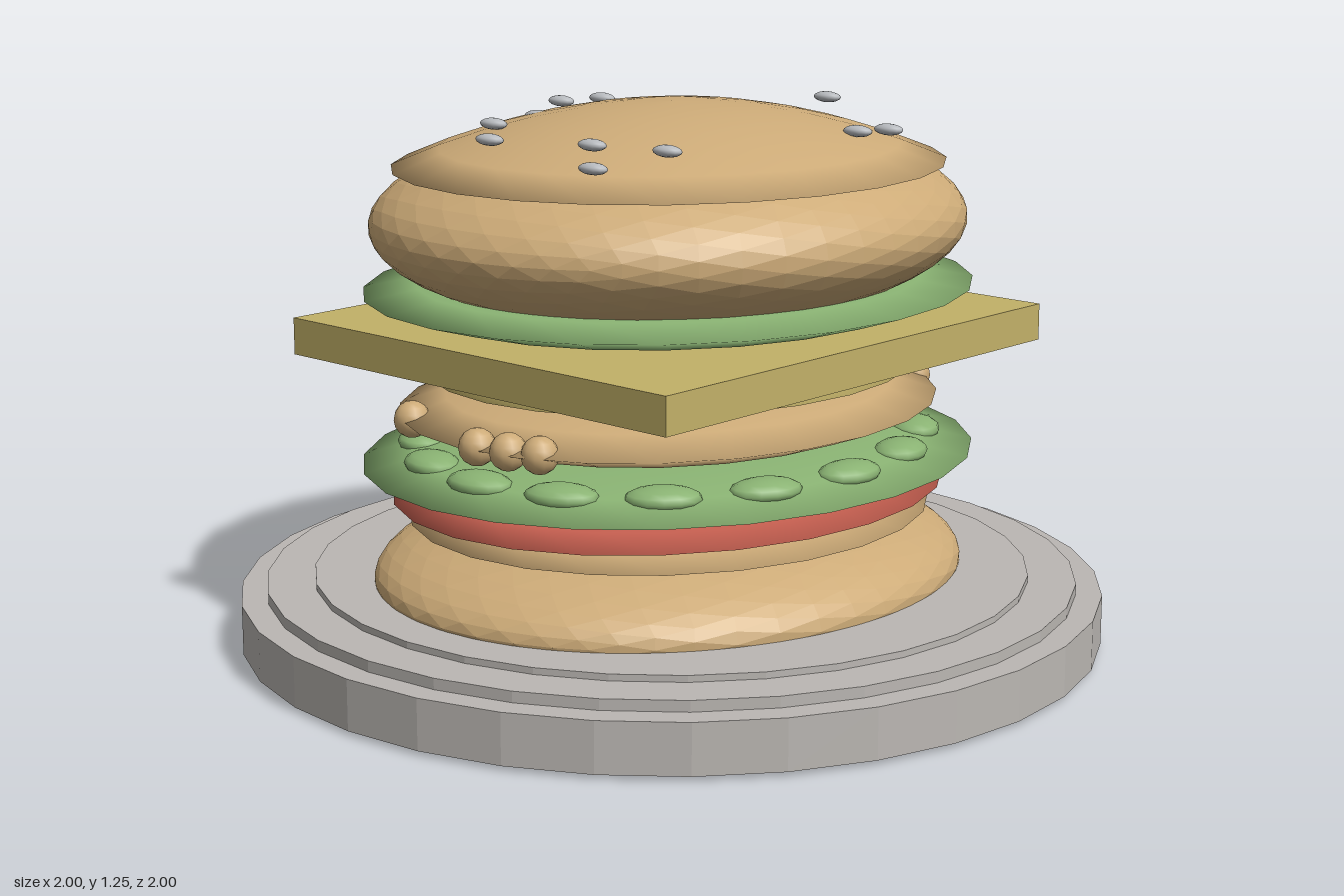
import * as THREE from 'three';

const mat = (name, color) => {
  const m = new THREE.MeshStandardMaterial({ color });
  m.name = name;
  return m;
};

export function createModel() {
  const bun = mat('toasted tan', 0xcdab78);
  const green = mat('lettuce green', 0x8ab373);
  const red = mat('tomato red', 0xc65f50);
  const yellow = mat('cheese yellow', 0xc2b168);
  const grey = mat('plate grey', 0xbbb7b3);
  const seedGrey = mat('seed grey', 0xb9bcc0);

  const model = new THREE.Group();
  model.name = 'burgerOnPlate';

  const add = (name, geometry, material, x, y, z, parent = model) => {
    const mesh = new THREE.Mesh(geometry, material);
    mesh.name = name;
    mesh.position.set(x, y, z);
    parent.add(mesh);
    return mesh;
  };

  // Lens-shaped layer with a sharp rim; a higher power gives a flatter face
  const lens = (name, material, y, rx, rz, half, power, below = half) => {
    const pts = [];
    const n = 6;
    for (let i = 0; i <= n; i++) {
      const r = i / n;
      pts.push(new THREE.Vector2(r, -below * (1 - r ** power)));
    }
    for (let i = n; i >= 0; i--) {
      const r = i / n;
      if (i < n) pts.push(new THREE.Vector2(r, half * (1 - r ** power)));
    }
    const geo = new THREE.LatheGeometry(pts, 24);
    geo.scale(rx, 1, rz);
    return add(name, geo, material, 0, y, 0);
  };

  // Faceted ellipsoid for the bread
  const bread = (name, y, rx, ry, rz) => {
    const geo = new THREE.IcosahedronGeometry(1, 7);
    geo.scale(rx, ry, rz);
    geo.computeVertexNormals();
    return add(name, geo, bun, 0, y, 0);
  };

  // Stepped plate
  [['plateBase', 1, 0.01, 0.125], ['plateStep', 0.94, 0.12, 0.15], ['plateCentre', 0.83, 0.145, 0.165]]
    .forEach(([name, r, y0, y1]) => {
      const flat = new THREE.CylinderGeometry(r, r, y1 - y0, 32).toNonIndexed();
      flat.computeVertexNormals();
      add(name, flat, grey, 0, (y0 + y1) / 2, 0);
    });

  // Layers from the bottom up
  bread('bottomBun', 0.171, 0.73, 0.171, 0.64);
  lens('bottomBunTop', bun, 0.31, 0.64, 0.57, 0.04, 4);
  lens('tomato', red, 0.365, 0.69, 0.59, 0.035, 4);
  lens('lowerLettuce', green, 0.44, 0.755, 0.66, 0.06, 4);
  lens('patty', bun, 0.56, 0.67, 0.575, 0.07, 4);
  lens('sauce', yellow, 0.645, 0.59, 0.53, 0.03, 4);
  add('cheese', new THREE.BoxGeometry(1.28, 0.085, 1.15), yellow, 0, 0.718, 0);
  lens('upperLettuce', green, 0.83, 0.74, 0.66, 0.04, 4, 0.07);
  bread('topBun', 0.98, 0.72, 0.22, 0.645);
  lens('topBunCrown', bun, 1.108, 0.665, 0.6, 0.137, 2, 0.03);

  // Ruffles around the lower lettuce
  const ruffles = new THREE.Group();
  ruffles.name = 'lettuceRuffles';
  model.add(ruffles);
  const ruffleGeo = new THREE.SphereGeometry(1, 14, 8).scale(0.06, 0.028, 0.085);
  for (let i = 0; i < 16; i++) {
    const a = (i / 16) * Math.PI * 2;
    const ruffle = add('ruffle', ruffleGeo, green, 0.61 * Math.cos(a), 0.47, 0.53 * Math.sin(a), ruffles);
    ruffle.rotation.y = -a;
  }

  // Crumbs on both sides of the patty, the left set turned half a circle to the right
  const crumbGeo = new THREE.SphereGeometry(0.042, 12, 8);
  for (const s of [1, -1]) {
    for (const [x, z] of [[0.56, 0.27], [0.635, -0.02], [0.62, -0.1], [0.595, -0.17]]) {
      add('pattyCrumb', crumbGeo, bun, s * x, 0.56, s * z);
    }
  }

  // Sesame seeds
  const seedGeo = new THREE.SphereGeometry(1, 12, 8).scale(0.022, 0.013, 0.038);
  const seeds = [
    [0.11, 1.195, -0.46], [0.235, 1.192, -0.445], [-0.33, 1.203, -0.235], [-0.15, 1.2, -0.275],
    [-0.5, 1.2, -0.07], [-0.41, 1.2, 0.15], [-0.49, 1.166, 0.23], [-0.37, 1.2, 0.33],
    [0.2, 1.19, 0.38], [0.285, 1.187, 0.4], [0.53, 1.207, 0.02],
  ];
  for (const [x, y, z] of seeds) add('sesameSeed', seedGeo, seedGrey, x, y, z);

  return model;
}
